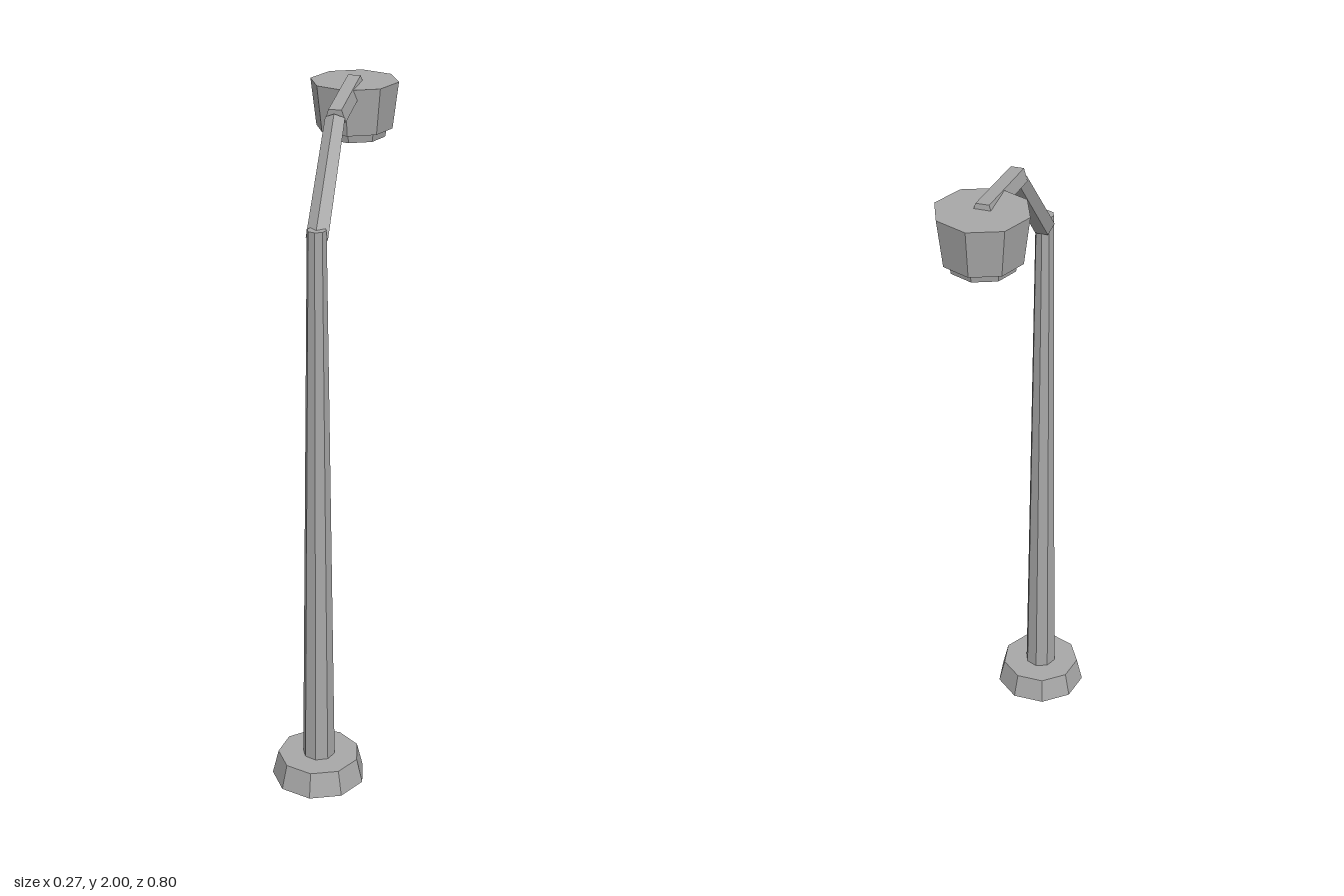
import * as THREE from 'three';

export function createModel() {
  const model = new THREE.Group();
  model.name = 'streetLamp';
  const metal = new THREE.MeshStandardMaterial({ color: 0xa8a8a8, flatShading: true });
  metal.name = 'grey metal';

  // Tapered prism from (y0, z0) to (y1, z1) in the x = 0 plane
  function prism(name, sides, r0, r1, [y0, z0], [y1, z1], thetaStart = 0) {
    const length = Math.hypot(y1 - y0, z1 - z0);
    const geometry = new THREE.CylinderGeometry(r1, r0, length, sides, 1, false, thetaStart);
    const mesh = new THREE.Mesh(geometry, metal);
    mesh.name = name;
    mesh.position.set(0, (y0 + y1) / 2, (z0 + z1) / 2);
    mesh.rotation.x = Math.atan2(z1 - z0, y1 - y0);
    model.add(mesh);
  }

  // Foot and upright
  prism('base', 9, 0.139, 0.121, [0, 0.26], [0.075, 0.26]);
  prism('pole', 8, 0.048, 0.027, [0.07, 0.26], [1.71, 0.26]);

  // Bent neck: ridge on top of the lower arm, flat top on the upper arm
  prism('lowerArm', 5, 0.032, 0.029, [1.68, 0.25], [1.943, 0.004]);
  prism('upperArm', 5, 0.031, 0.031, [1.946, 0.01], [1.975, -0.272], Math.PI);

  // Lamp head and the lens below it
  prism('lampShade', 8, 0.111, 0.128, [1.85, -0.272], [1.985, -0.272]);
  prism('lens', 8, 0.09, 0.095, [1.825, -0.272], [1.855, -0.272]);

  return model;
}
